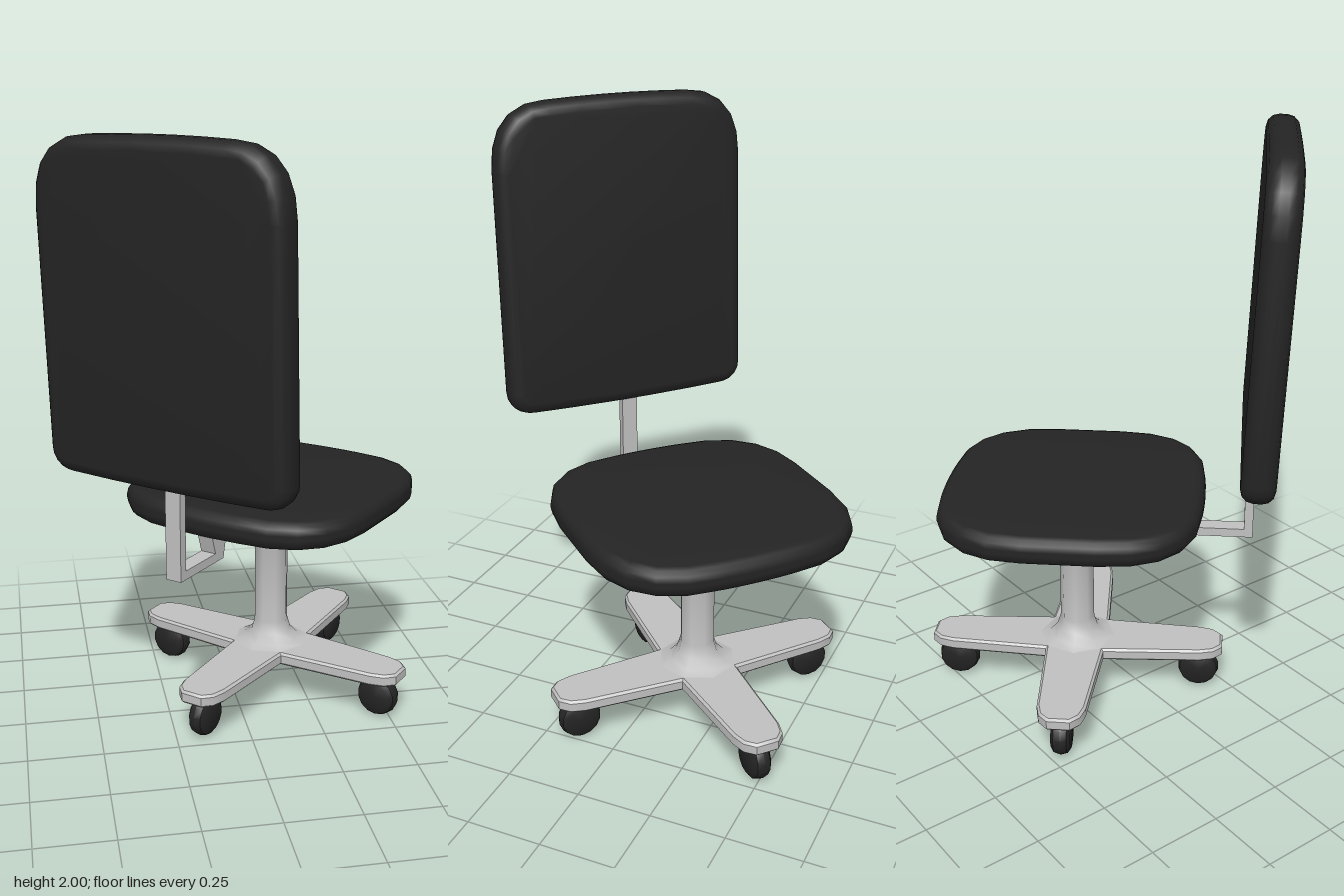
import * as THREE from 'three';
import { toCreasedNormals } from 'three/addons/utils/BufferGeometryUtils.js';

const black = new THREE.MeshStandardMaterial({ color: 0x242424 });
black.name = 'black fabric';
const grey = new THREE.MeshStandardMaterial({ color: 0xc0c0c0 });
grey.name = 'light grey metal';

function part(name, geometry, material, crease = 0.6) {
  const mesh = new THREE.Mesh(toCreasedNormals(geometry, crease), material);
  mesh.name = name;
  return mesh;
}

// Centred outline with soft corners; each corner is [reach along x, reach along y].
function softRectangle(w, h, top, bottom, bow = 0) {
  const x = w / 2, y = h / 2;
  const s = new THREE.Shape();
  s.moveTo(-x + bottom[0], -y);
  s.quadraticCurveTo(0, -y - bow * 2, x - bottom[0], -y);
  s.quadraticCurveTo(x, -y, x, -y + bottom[1]);
  s.lineTo(x, y - top[1]);
  s.quadraticCurveTo(x, y, x - top[0], y);
  s.quadraticCurveTo(0, y + bow * 2, -x + top[0], y);
  s.quadraticCurveTo(-x, y, -x, y - top[1]);
  s.lineTo(-x, -y + bottom[1]);
  s.quadraticCurveTo(-x, -y, -x + bottom[0], -y);
  return s;
}

// Slab with rounded rims, centred on z = 0.
function slab(shape, thickness, rim, rimDepth, segments, curveSegments) {
  const depth = thickness - 2 * rimDepth;
  const g = new THREE.ExtrudeGeometry(shape, {
    depth, bevelThickness: rimDepth, bevelSize: rim, bevelSegments: segments, curveSegments,
  });
  return g.translate(0, 0, -depth / 2);
}

export function createModel() {
  const model = new THREE.Group();
  model.name = 'swivelChair';
  const chair = new THREE.Group();
  chair.name = 'chair';
  chair.position.set(0.143, 0, -0.152);
  chair.rotation.y = THREE.MathUtils.degToRad(138);
  model.add(chair);

  // Seat cushion
  const corner = [0.29, 0.29];
  const seatShape = softRectangle(0.816, 0.816, corner, corner, 0.004);
  const seat = part('seat', slab(seatShape, 0.095, 0.035, 0.04, 3, 5).rotateX(-Math.PI / 2), black, 0.9);
  seat.position.y = 0.7525;
  chair.add(seat);

  // Tall backrest, leaning slightly backwards
  const backShape = softRectangle(0.805, 0.985, [0.15, 0.18], [0.05, 0.04], 0.006);
  const backrest = part('backrest', slab(backShape, 0.11, 0.04, 0.042, 3, 5), black, 0.9);
  backrest.position.set(0, 1.465, -0.638);
  backrest.rotation.x = -0.042;
  chair.add(backrest);

  // Bracket joining the seat to the backrest
  const bracket = new THREE.Group();
  bracket.name = 'backBracket';
  const upright = part('upright', new THREE.BoxGeometry(0.056, 0.38, 0.03), grey);
  upright.position.set(0, 0.81, -0.597);
  const strip = part('strip', new THREE.BoxGeometry(0.056, 0.03, 0.25), grey);
  strip.position.set(0, 0.635, -0.487);
  const wedgeShape = new THREE.Shape([
    new THREE.Vector2(0.362, 0.62), new THREE.Vector2(0.4, 0.62),
    new THREE.Vector2(0.43, 0.715), new THREE.Vector2(0.34, 0.715),
  ]);
  const wedge = part('wedge',
    new THREE.ExtrudeGeometry(wedgeShape, { depth: 0.056, bevelEnabled: false })
      .translate(0, 0, -0.028).rotateY(Math.PI / 2), grey);
  bracket.add(upright, strip, wedge);
  chair.add(bracket);

  // Eight-sided column, flared at both ends
  const profile = [
    [0.14, 0.183], [0.1, 0.195], [0.072, 0.225], [0.06, 0.265],
    [0.06, 0.645], [0.072, 0.675], [0.095, 0.69], [0.095, 0.712],
  ].map(([r, y]) => new THREE.Vector2(r, y));
  chair.add(part('column', new THREE.LatheGeometry(profile, 8), grey, 0.9));

  // Four-armed base plate
  const armOutline = [[0.095, -0.095], [0.44, -0.074], [0.485, -0.062], [0.512, -0.035],
    [0.512, 0.035], [0.485, 0.062], [0.44, 0.074]];
  const outline = [];
  for (let i = 0; i < 4; i++) {
    for (const [x, y] of armOutline) {
      outline.push(new THREE.Vector2(x, y).rotateAround(new THREE.Vector2(), i * Math.PI / 2));
    }
  }
  const base = part('base', slab(new THREE.Shape(outline), 0.045, 0.008, 0.008, 1, 1).rotateX(-Math.PI / 2), grey);
  base.position.y = 0.1625;
  chair.add(base);

  // Wheels under the arm ends, rolling outwards
  const tyre = [[0, -0.033], [0.05, -0.033], [0.067, -0.022], [0.0735, 0],
    [0.067, 0.022], [0.05, 0.033], [0, 0.033]].map(([r, y]) => new THREE.Vector2(r, y));
  for (let i = 0; i < 4; i++) {
    const caster = new THREE.Group();
    caster.name = 'caster' + (i + 1);
    caster.rotation.y = i * Math.PI / 2;
    const wheel = part('wheel', new THREE.LatheGeometry(tyre, 14).rotateX(Math.PI / 2), black, 0.7);
    wheel.position.set(0.436, 0.0735, 0);
    caster.add(wheel);
    chair.add(caster);
  }
  return model;
}
